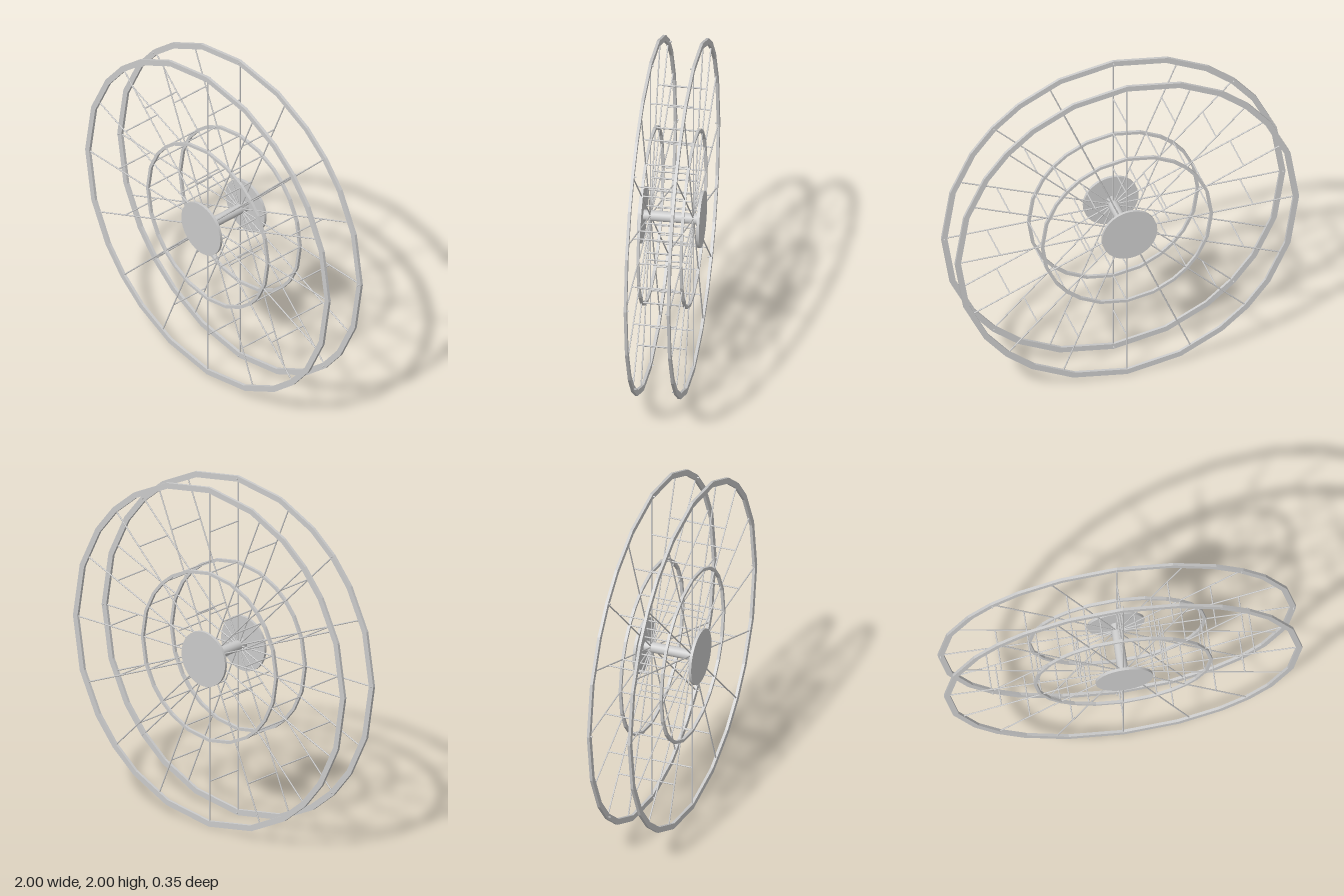
import * as THREE from 'three';

const material = new THREE.MeshStandardMaterial({ color: 0xcccccc, side: THREE.DoubleSide });
const SIDE_Z = 0.12;
const SPOKES = 16;

// Corner angles of the faceted rims within one quarter, in degrees
const CORNERS = [0, 18.3, 33.7, 45, 56.3, 71.7];

function rimPoints(radius) {
  const points = [];
  for (let q = 0; q < 4; q++) {
    for (const corner of CORNERS) {
      const t = THREE.MathUtils.degToRad(corner + q * 90);
      points.push(new THREE.Vector2(Math.cos(t) * radius, Math.sin(t) * radius));
    }
  }
  return points;
}

function rimGeometry(outer, inner, depth) {
  const shape = new THREE.Shape(rimPoints(outer));
  shape.holes.push(new THREE.Path(rimPoints(inner)));
  return new THREE.ExtrudeGeometry(shape, { depth, bevelEnabled: false }).translate(0, 0, -depth / 2);
}

function add(parent, name, geometry, x = 0, y = 0, z = 0) {
  const mesh = new THREE.Mesh(geometry, material);
  mesh.name = name;
  mesh.position.set(x, y, z);
  parent.add(mesh);
  return mesh;
}

// Cylinder lying along z
const rodZ = (radius, length, sides) =>
  new THREE.CylinderGeometry(radius, radius, length, sides).rotateX(Math.PI / 2);

export function createModel() {
  const model = new THREE.Group();
  model.name = 'spokedWheel';
  const wheel = new THREE.Group();
  wheel.name = 'wheel';
  wheel.position.y = 1;
  model.add(wheel);

  const outerRim = rimGeometry(1, 0.967, 0.016);
  const innerRim = rimGeometry(0.5, 0.483, 0.016);
  const hubDisc = rodZ(0.16, 0.016, 40);
  const spoke = new THREE.CylinderGeometry(0.004, 0.004, 0.98, 8).rotateZ(-Math.PI / 2).translate(0.49, 0, 0);
  const crossbar = rodZ(0.004, SIDE_Z * 2, 8);
  const pin = rodZ(0.004, 0.026, 8);

  // Front and back wheel faces
  for (const s of [1, -1]) {
    const face = new THREE.Group();
    face.name = s > 0 ? 'frontFace' : 'backFace';
    wheel.add(face);
    add(face, 'outerRim', outerRim, 0, 0, s * SIDE_Z);
    add(face, 'innerRim', innerRim, 0, 0, s * SIDE_Z);
    add(face, 'hubDisc', hubDisc, 0, 0, s * 0.165);
    for (let i = 0; i < SPOKES; i++) {
      const angle = (i / SPOKES) * Math.PI * 2;
      add(face, 'spoke', spoke, 0, 0, s * SIDE_Z).rotation.z = angle;
      // Short pins inside the rim on every second spoke
      if (i % 2 === 0) {
        add(face, 'rimPin', pin, Math.cos(angle) * 0.985, Math.sin(angle) * 0.985, s * 0.113);
      }
    }
  }

  // Bars joining the two faces, three along each spoke
  for (const radius of [0.25, 0.494, 0.735]) {
    for (let i = 0; i < SPOKES; i++) {
      const angle = (i / SPOKES) * Math.PI * 2;
      add(wheel, 'crossbar', crossbar, Math.cos(angle) * radius, Math.sin(angle) * radius, 0);
    }
  }

  add(wheel, 'axle', rodZ(0.03, 0.33, 24));
  return model;
}
